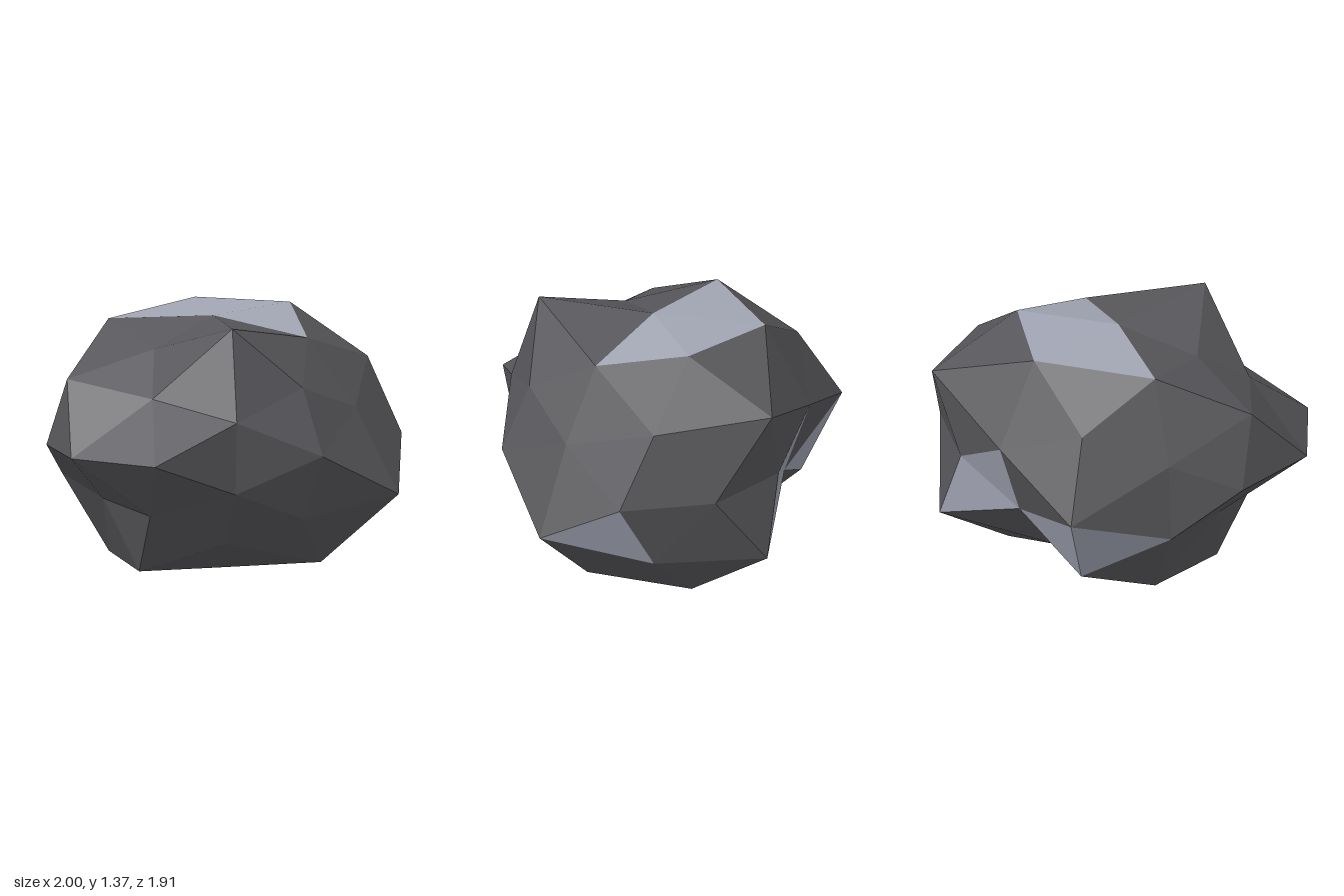
import * as THREE from 'three';

// Radius of each corner of a once-subdivided icosahedron, keyed by its rounded direction
const RADII = {
  // axis corners
  '2,0,0': 0.97, '-2,0,0': 1.025, '0,2,0': 0.874, '0,-2,0': 0.93, '0,0,2': 0.914, '0,0,-2': 1.14,
  // icosahedron corners
  '1,2,0': 1.05, '-1,2,0': 0.815, '1,-2,0': 1.137, '-1,-2,0': 1.017,
  '0,1,2': 0.88, '0,-1,2': 0.88, '0,1,-2': 1.024, '0,-1,-2': 1.05,
  '2,0,1': 1.04, '-2,0,1': 1.063, '2,0,-1': 0.885, '-2,0,-1': 0.922,
  // edge midpoints leaning sideways
  '2,1,1': 1.033, '2,1,-1': 1.155, '2,-1,1': 1.01, '2,-1,-1': 1.107,
  '-2,1,1': 0.81, '-2,1,-1': 0.98, '-2,-1,1': 0.84, '-2,-1,-1': 0.74,
  // edge midpoints leaning up and down
  '1,2,1': 0.915, '-1,2,1': 1.115, '1,2,-1': 1.09, '-1,2,-1': 1.02,
  '1,-2,1': 1.045, '-1,-2,1': 0.805, '1,-2,-1': 0.81, '-1,-2,-1': 1.015,
  // edge midpoints leaning to front and back
  '1,1,2': 0.855, '-1,1,2': 0.855, '1,-1,2': 1.115, '-1,-1,2': 0.81,
  '1,1,-2': 0.944, '-1,1,-2': 0.87, '1,-1,-2': 0.79, '-1,-1,-2': 0.91,
};

// Corners of the pale facets
const PALE = [
  ['0,2,0', '1,2,-1', '-1,2,-1'],
  ['0,2,0', '1,2,-1', '1,2,0'],
  ['0,2,0', '1,2,1', '1,2,0'],
  ['2,0,1', '2,-1,1', '1,-1,2'],
  ['2,0,-1', '1,1,-2', '1,-1,-2'],
  ['2,0,-1', '2,-1,-1', '1,-1,-2'],
  ['0,-1,-2', '0,0,-2', '1,-1,-2'],
  ['0,-1,-2', '0,0,-2', '-1,-1,-2'],
];
const faceKey = (keys) => [...keys].sort().join('|');
const paleFaces = new Set(PALE.map(faceKey));

const CENTRE = new THREE.Vector3(0.025, 0.69, 0.11);
const SCALE = new THREE.Vector3(1, 0.755, 0.93);

function facetMesh(name, points, material) {
  const geometry = new THREE.BufferGeometry().setFromPoints(points);
  geometry.computeVertexNormals();
  const mesh = new THREE.Mesh(geometry, material);
  mesh.name = name;
  return mesh;
}

export function createModel() {
  const darkStone = new THREE.MeshStandardMaterial({ color: 0x58575b });
  darkStone.name = 'dark stone';
  const paleStone = new THREE.MeshStandardMaterial({ color: 0xa2a6b4 });
  paleStone.name = 'pale blue stone';

  const ball = new THREE.IcosahedronGeometry(1, 1);
  const source = ball.index ? ball.toNonIndexed() : ball;
  const position = source.attributes.position;
  const dark = [];
  const pale = [];

  // Push each corner in or out, flatten the base and sort facets by colour
  for (let i = 0; i < position.count; i += 3) {
    const keys = [];
    const corners = [];
    for (let j = 0; j < 3; j++) {
      const p = new THREE.Vector3().fromBufferAttribute(position, i + j).normalize();
      const key = p.toArray().map((v) => Math.round(v * 2 + Math.sign(v) * 0.01)).join(',');
      keys.push(key);
      p.multiplyScalar(RADII[key]).multiply(SCALE).add(CENTRE);
      p.y = Math.max(p.y, 0);
      corners.push(p);
    }
    (paleFaces.has(faceKey(keys)) ? pale : dark).push(...corners);
  }

  const rock = new THREE.Group();
  rock.name = 'rock';
  rock.add(facetMesh('rockBody', dark, darkStone), facetMesh('paleFacets', pale, paleStone));
  return rock;
}
